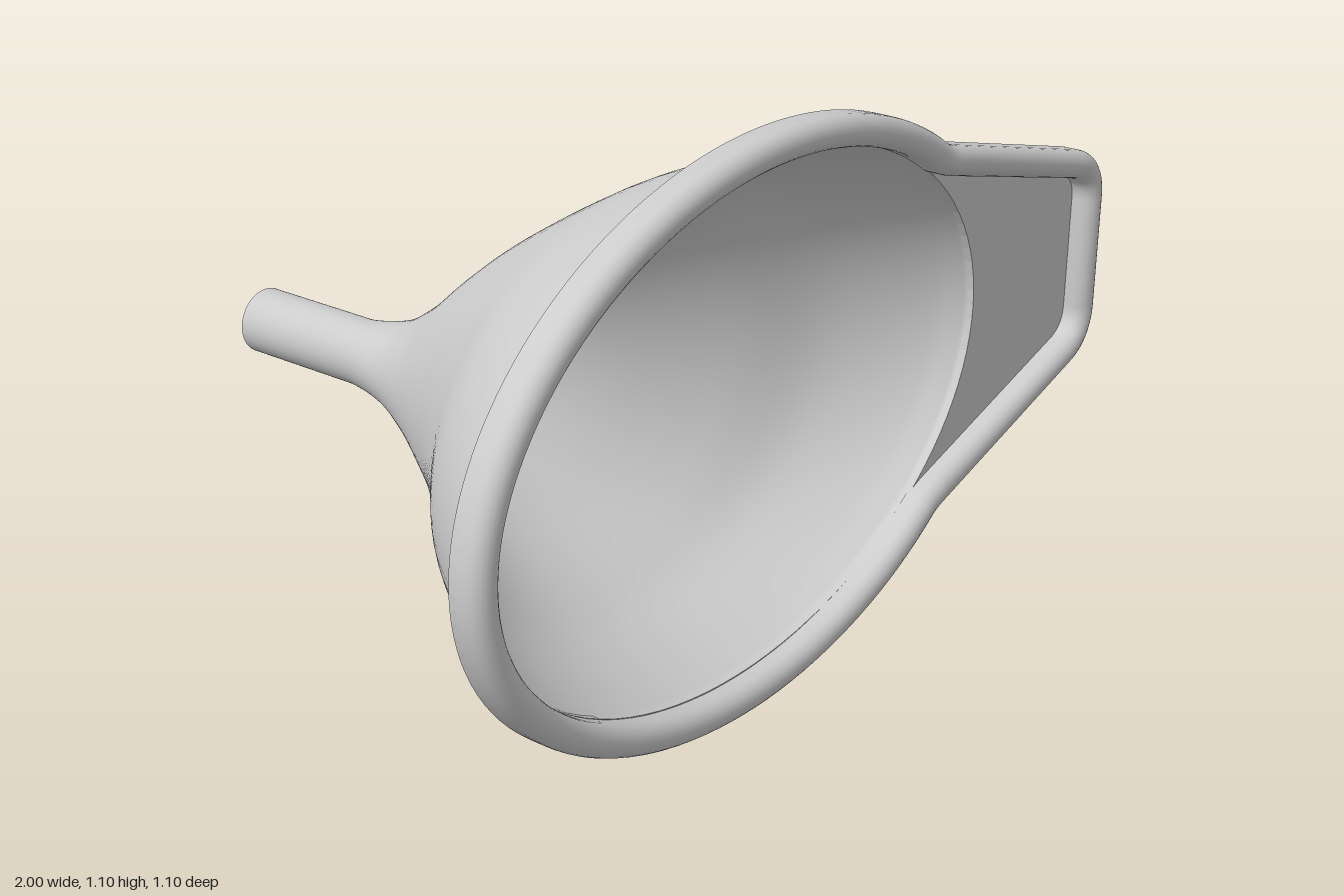
import * as THREE from 'three';

const CY = 0.548; // height of the long axis
const BACK = 0.485, FLOOR = 0.5, FRONT = 0.55; // plate levels along z
const RIM = 0.06; // rim width

const material = new THREE.MeshStandardMaterial({ color: 0xcccccc, side: THREE.DoubleSide });

// Skin over closed rings of equal length, smooth along and around
function loft(rings) {
  const n = rings[0].length, index = [];
  for (let i = 0; i < rings.length - 1; i++) {
    for (let j = 0; j < n; j++) {
      const a = i * n + j, b = i * n + (j + 1) % n;
      index.push(a, b, a + n, b, b + n, a + n);
    }
  }
  const g = new THREE.BufferGeometry().setFromPoints(rings.flat());
  g.setIndex(index);
  g.computeVertexNormals();
  return g;
}

function add(group, name, geometry) {
  const mesh = new THREE.Mesh(geometry, material);
  mesh.name = name;
  group.add(mesh);
}

// Outer plate outline: ellipse running into a tapered, rounded handle
function plateOutline() {
  const a = 0.795;
  const p = new THREE.Path();
  p.absellipse(-0.2, CY, 0.8, 0.548, a, 2 * Math.PI - a);
  p.quadraticCurveTo(0.375, CY - 0.382, 0.41, CY - 0.373);
  p.lineTo(0.905, CY - 0.24);
  p.bezierCurveTo(0.965, CY - 0.224, 1, CY - 0.18, 1, CY - 0.12);
  p.lineTo(1, CY + 0.12);
  p.bezierCurveTo(1, CY + 0.18, 0.965, CY + 0.224, 0.905, CY + 0.24);
  p.lineTo(0.41, CY + 0.373);
  p.quadraticCurveTo(0.375, CY + 0.382, -0.2 + 0.8 * Math.cos(a), CY + 0.548 * Math.sin(a));
  const pts = p.getPoints(48);
  return pts.filter((v, i) => v.distanceTo(pts[(i + 1) % pts.length]) > 1e-5);
}

// Outline moved inward by d, placed at z
function inset(pts, d, z) {
  const n = pts.length;
  return pts.map((p, i) => {
    const e1 = p.clone().sub(pts[(i + n - 1) % n]).normalize();
    const e2 = pts[(i + 1) % n].clone().sub(p).normalize();
    const t = e1.add(e2).normalize();
    return new THREE.Vector3(p.x - t.y * d, p.y + t.x * d, z);
  });
}

// Funnel growth from spout (0) to mouth (1): [across x, across y, z]
const growth = new THREE.CatmullRomCurve3([
  [0, 0, -0.34], [0, 0, -0.283], [0.045, 0.043, -0.186], [0.115, 0.165, -0.1],
  [0.23, 0.376, 0], [0.342, 0.53, 0.08], [0.555, 0.72, 0.2], [0.765, 0.85, 0.3],
  [0.95, 0.962, 0.43], [1, 1, BACK],
].map((v) => new THREE.Vector3(...v)));

function section(tx, ty, z, wall) {
  const rx = 0.064 + 0.691 * tx - wall, ry = 0.064 + 0.433 * ty - wall;
  return Array.from({ length: 96 }, (_, j) => {
    const a = (j / 96) * 2 * Math.PI;
    return new THREE.Vector3(-0.39 + 0.193 * tx + rx * Math.cos(a), CY + ry * Math.sin(a), z);
  });
}

function funnelRings(wall) {
  const rings = [section(0, 0, -0.55, wall)];
  for (const v of growth.getPoints(72)) {
    rings.push(section(Math.max(0, v.x), Math.max(0, v.y), v.z, wall));
  }
  return rings;
}

export function createModel() {
  const model = new THREE.Group();
  model.name = 'funnel';
  const outline = plateOutline();

  // Flat plate with the elliptical mouth cut out
  const shape = new THREE.Shape(outline);
  shape.holes.push(new THREE.Path().absellipse(-0.197, CY, 0.743, 0.486, 0, 2 * Math.PI, true));
  const plate = new THREE.ExtrudeGeometry(shape, { depth: FLOOR - BACK, bevelEnabled: false, curveSegments: 48 });
  plate.translate(0, 0, BACK);
  add(model, 'plate', plate);

  // Raised rim with a half-round top
  const r = RIM / 2, rim = [inset(outline, 0, FLOOR)];
  for (let i = 0; i <= 12; i++) {
    const a = (i / 12) * Math.PI;
    rim.push(inset(outline, r - r * Math.cos(a), FRONT - r + r * Math.sin(a)));
  }
  rim.push(inset(outline, RIM, FLOOR - 0.005));
  add(model, 'rim', loft(rim));

  // Funnel walls and the ring closing the spout end
  const outer = funnelRings(0), inner = funnelRings(0.011);
  inner.push(section(1, 1, FLOOR, 0.011));
  add(model, 'funnelOutside', loft(outer));
  add(model, 'funnelInside', loft(inner.slice().reverse()));
  add(model, 'spoutEnd', loft([inner[0], outer[0]]));

  return model;
}
